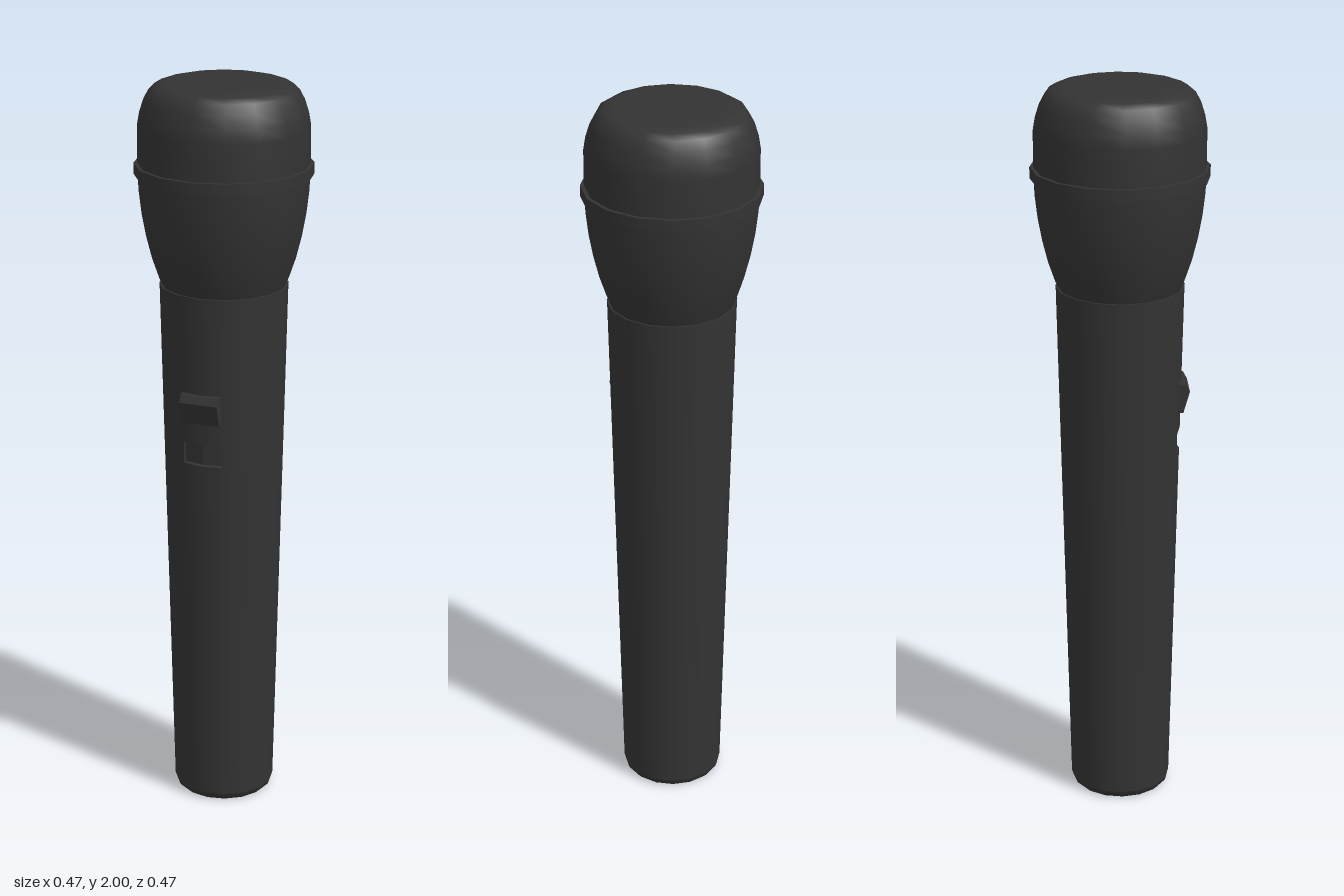
import * as THREE from 'three';

const SIDES = 16;
const WINDOW_T = 0.88; // where the recess edge cuts the two front facets
const SLOT = [1.0, 1.06];
const FOOT = 0.02, NECK = 1.465;

const material = new THREE.MeshStandardMaterial({ color: 0x333333, roughness: 0.8 });
const thinMaterial = new THREE.MeshStandardMaterial({ color: 0x333333, roughness: 0.8, side: THREE.DoubleSide });

const handleRadius = (y) => 0.137 + (0.033 * (y - FOOT)) / (NECK - FOOT);

function addMesh(group, name, geometry, mat = material) {
  const mesh = new THREE.Mesh(geometry, mat);
  mesh.name = name;
  group.add(mesh);
  return mesh;
}

function lathe(profile) {
  return new THREE.LatheGeometry(profile.map(([r, y]) => new THREE.Vector2(r, y)), SIDES);
}

// Unit outline of the handle, starting and ending at the recess's -x edge
function outline() {
  const corner = (k) => {
    const a = (k * Math.PI * 2) / SIDES;
    return [Math.sin(a), Math.cos(a)];
  };
  const [sx, sz] = corner(1);
  const edgeX = sx * WINDOW_T, edgeZ = 1 + (sz - 1) * WINDOW_T;
  const points = [[-edgeX, edgeZ], [0, 1], [edgeX, edgeZ]];
  for (let k = 1; k < SIDES; k++) points.push(corner(k));
  points.push([-edgeX, edgeZ]);
  return points;
}

const at = ([x, z], y, depth = 0) => {
  const r = handleRadius(y) - depth;
  return [x * handleRadius(y), y, z * r];
};

function quadGeometry(quads, radial) {
  const pos = [];
  for (const [a, b, c, d] of quads) pos.push(...a, ...b, ...c, ...a, ...c, ...d);
  const geometry = new THREE.BufferGeometry();
  geometry.setAttribute('position', new THREE.Float32BufferAttribute(pos, 3));
  geometry.computeVertexNormals();
  if (radial) {
    const p = geometry.attributes.position, n = geometry.attributes.normal;
    const v = new THREE.Vector3();
    for (let i = 0; i < p.count; i++) {
      v.set(p.getX(i), 0, p.getZ(i)).normalize().setY(-0.023).normalize();
      n.setXYZ(i, v.x, v.y, v.z);
    }
  }
  return geometry;
}

// Tapered tube with a window left open at the front
function handleGeometry() {
  const ring = outline();
  const rows = [FOOT, ...SLOT, NECK];
  const quads = [];
  for (let r = 0; r < rows.length - 1; r++) {
    for (let j = 0; j < ring.length - 1; j++) {
      if (r === 1 && j < 2) continue;
      const [y0, y1] = [rows[r], rows[r + 1]];
      quads.push([at(ring[j], y0), at(ring[j + 1], y0), at(ring[j + 1], y1), at(ring[j], y1)]);
    }
  }
  return quadGeometry(quads, true);
}

// Floor and walls of the shallow switch recess
function recessGeometry() {
  const ring = outline().slice(0, 3);
  const [y0, y1] = SLOT;
  const depth = 0.015;
  const quads = [];
  for (let j = 0; j < 2; j++) {
    const [p, q] = [ring[j], ring[j + 1]];
    quads.push([at(p, y0, depth), at(q, y0, depth), at(q, y1, depth), at(p, y1, depth)]);
    quads.push([at(p, y0), at(q, y0), at(q, y0, depth), at(p, y0, depth)]);
    quads.push([at(p, y1, depth), at(q, y1, depth), at(q, y1), at(p, y1)]);
  }
  const [l, , r] = ring;
  quads.push([at(l, y0), at(l, y0, depth), at(l, y1, depth), at(l, y1)]);
  quads.push([at(r, y0, depth), at(r, y0), at(r, y1), at(r, y1, depth)]);
  return quadGeometry(quads, false);
}

// Wedge-shaped thumb slider, extruded across x from its side profile
function sliderGeometry() {
  const shape = new THREE.Shape();
  [[0.14, 1.12], [0.166, 1.12], [0.183, 1.18], [0.172, 1.2], [0.14, 1.2]]
    .forEach(([z, y], i) => (i ? shape.lineTo(z, y) : shape.moveTo(z, y)));
  const width = 0.106;
  const geometry = new THREE.ExtrudeGeometry(shape, { depth: width, bevelEnabled: false });
  geometry.translate(0, 0, -width / 2);
  geometry.rotateY(-Math.PI / 2);
  return geometry;
}

export function createModel() {
  const model = new THREE.Group();
  model.name = 'microphone';

  // Handle with its chamfered foot
  addMesh(model, 'handle', handleGeometry());
  addMesh(model, 'footChamfer', lathe([[0.125, 0], [0.133, 0.008], [0.137, FOOT]]));
  addMesh(model, 'footCap', lathe([[0, 0], [0.125, 0]]));

  // Switch
  addMesh(model, 'switchRecess', recessGeometry(), thinMaterial);
  addMesh(model, 'switchSlider', sliderGeometry());

  // Head: flared cup, band and rounded grille
  addMesh(model, 'headCup', lathe([
    [0.166, NECK], [0.172, 1.48], [0.189, 1.53], [0.204, 1.59], [0.215, 1.65], [0.222, 1.71], [0.225, 1.765],
  ]));
  addMesh(model, 'neckSeam', lathe([[0.15, NECK], [0.171, NECK]]), thinMaterial);
  const band = [[0.22, 1.758], [0.235, 1.758], [0.235, 1.788], [0.22, 1.788]];
  for (let i = 0; i < 3; i++) addMesh(model, 'headBand', lathe([band[i], band[i + 1]]));
  addMesh(model, 'grille', lathe([
    [0.225, 1.78], [0.225, 1.885], [0.219, 1.92], [0.208, 1.955], [0.194, 1.981], [0.175, 1.993], [0.148, 2], [0, 2],
  ]));

  return model;
}
